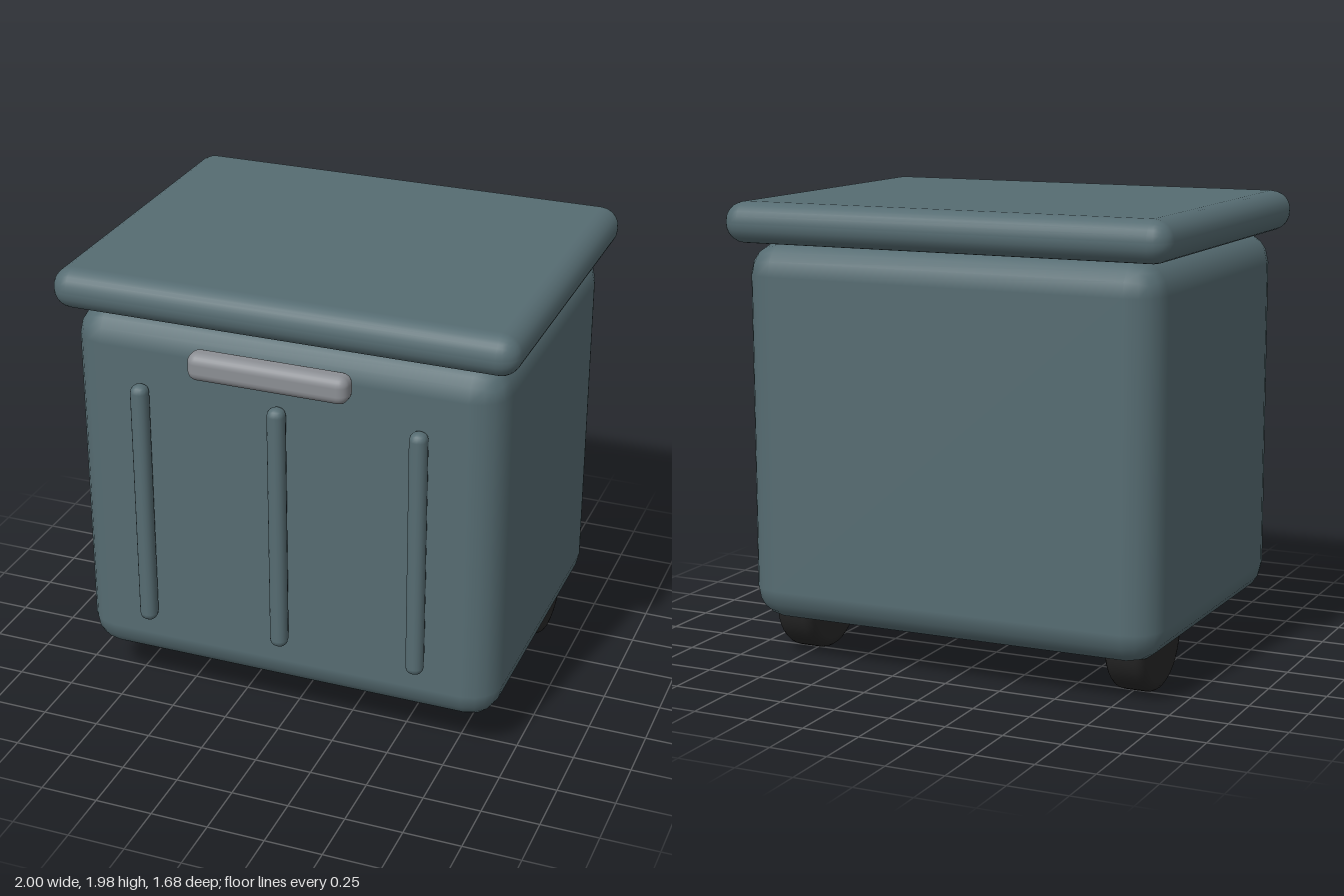
import * as THREE from 'three';
import { RoundedBoxGeometry } from 'three/addons/geometries/RoundedBoxGeometry.js';

function makeMaterial(name, color) {
  const material = new THREE.MeshStandardMaterial({ color });
  material.name = name;
  return material;
}

export function createModel() {
  const group = new THREE.Group();
  group.name = 'wheeledBin';

  const shell = makeMaterial('slateTeal', 0x566c72);
  const grip = makeMaterial('grey', 0x8c8f94);
  const rubber = makeMaterial('blackRubber', 0x272727);

  const add = (name, geometry, material, x, y, z) => {
    const mesh = new THREE.Mesh(geometry, material);
    mesh.name = name;
    mesh.position.set(x, y, z);
    group.add(mesh);
    return mesh;
  };
  const roundedBox = (w, h, d, segments, radius) =>
    new RoundedBoxGeometry(w, h, d, segments, radius);

  // Body and overhanging lid
  add('body', roundedBox(1.876, 1.635, 1.48, 2, 0.14), shell, 0, 0.993, -0.05);
  add('lid', roundedBox(2, 0.176, 1.585, 3, 0.085), shell, 0, 1.895, -0.05);

  // Upright ribs on the front face
  for (const [name, x] of [['rightRib', -0.608], ['middleRib', 0], ['leftRib', 0.608]]) {
    add(name, roundedBox(0.076, 1.12, 0.076, 2, 0.034), shell, x, 0.97, 0.722);
  }

  // Handle bar in front of the body
  add('handle', roundedBox(0.69, 0.12, 0.104, 3, 0.042), grip, 0, 1.7, 0.79);

  // Rear wheels: a turned disc with rounded shoulders
  const radius = 0.235, half = 0.088, round = 0.04;
  const profile = [new THREE.Vector2(0, -half)];
  for (const side of [-1, 1]) {
    for (let i = 0; i <= 4; i++) {
      const a = (side < 0 ? i - 4 : i) * Math.PI / 8;
      profile.push(new THREE.Vector2(
        radius - round + round * Math.cos(a),
        side * (half - round) + round * Math.sin(a)));
    }
  }
  profile.push(new THREE.Vector2(0, half));
  const wheelGeometry = new THREE.LatheGeometry(profile, 40);
  wheelGeometry.rotateZ(Math.PI / 2);
  for (const side of [-1, 1]) {
    add(side < 0 ? 'rightWheel' : 'leftWheel', wheelGeometry, rubber, side * 0.77, 0.235, -0.46);
  }

  return group;
}
